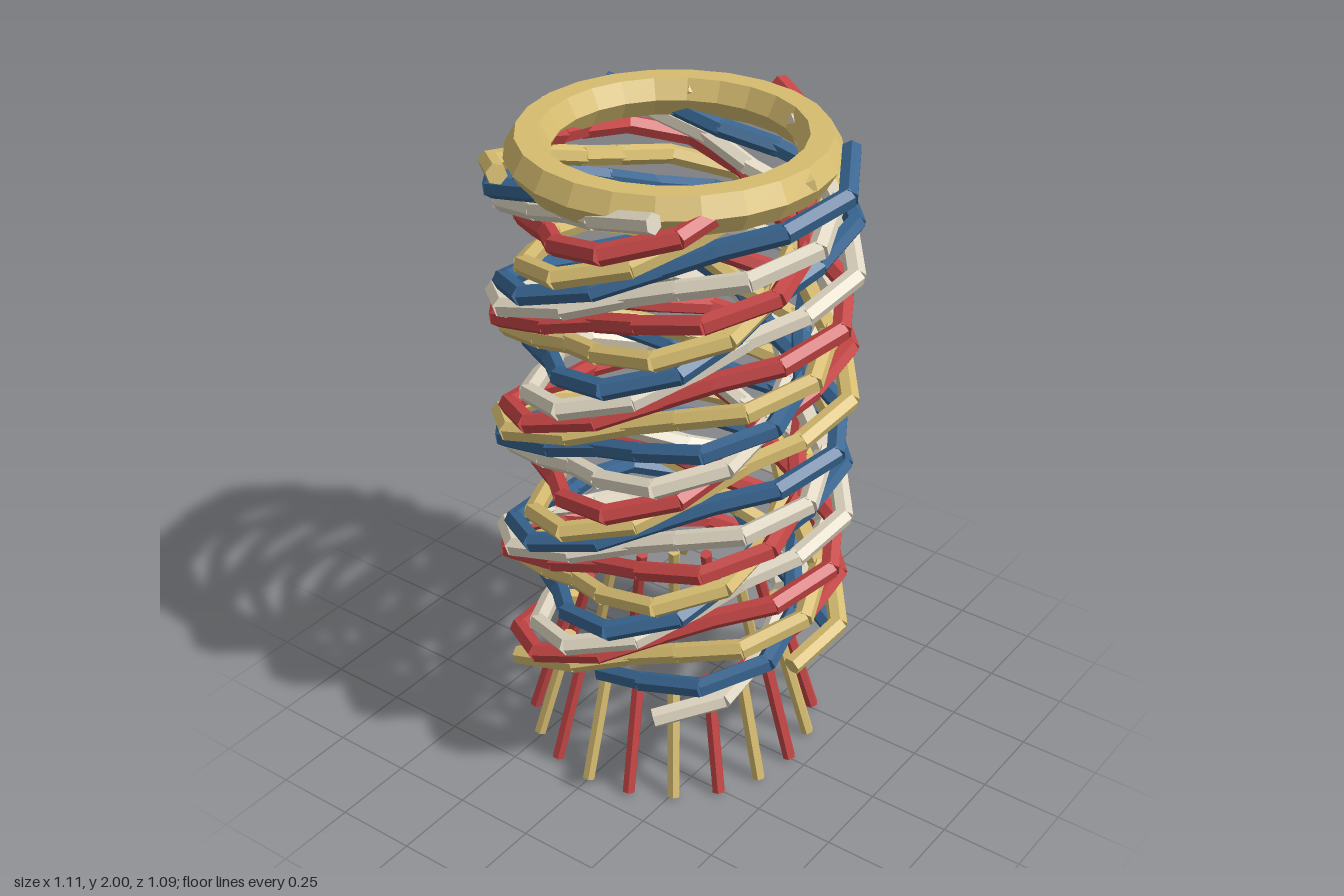
import * as THREE from 'three';

const paint = (color) => new THREE.MeshStandardMaterial({ color, flatShading: true });
const red = paint(0xc44545);
const cream = paint(0xdfd6c2);
const blue = paint(0x37648f);
const gold = paint(0xd6bc70);

const UP = new THREE.Vector3(0, 1, 0);

// point at an angle (degrees from +x towards +z), radius and height
function polar(degrees, radius, y) {
  const a = THREE.MathUtils.degToRad(degrees);
  return new THREE.Vector3(radius * Math.cos(a), y, radius * Math.sin(a));
}

// six-sided rod between two points, lengthened a little so that joints overlap
function rod(from, to, radius, material, name, overlap = 0) {
  const along = to.clone().sub(from);
  const geometry = new THREE.CylinderGeometry(radius, radius, along.length() + overlap, 6);
  const mesh = new THREE.Mesh(geometry, material);
  mesh.position.copy(from).add(to).multiplyScalar(0.5);
  mesh.quaternion.setFromUnitVectors(UP, along.normalize());
  mesh.name = name;
  return mesh;
}

// helical strand that weaves in and out as it winds down two turns
function strand(index, material) {
  const group = new THREE.Group();
  group.name = 'wovenStrand';
  const steps = 32, turns = 2, top = 1.96, bottom = 0.365;
  const points = [];
  for (let j = 0; j <= steps; j++) {
    const t = j / steps;
    const wound = t * turns * 360;
    const weave = THREE.MathUtils.degToRad(3 * wound + 150 * index);
    const radius = 0.445 + 0.08 * Math.cos(weave);
    points.push(polar(30 * index + wound, radius, top + (bottom - top) * t));
  }
  for (let j = 0; j < steps; j++) {
    group.add(rod(points[j], points[j + 1], 0.03, material, 'strandSegment', 0.01));
  }
  return group;
}

export function createModel() {
  const model = new THREE.Group();
  model.name = 'wovenSleeve';

  // twelve strands in four repeating colours
  const colours = [red, cream, blue, gold];
  for (let i = 0; i < 12; i++) model.add(strand(i, colours[i % 4]));

  // rim on top
  const rim = new THREE.Mesh(new THREE.TorusGeometry(0.405, 0.065, 6, 24), gold);
  rim.rotation.x = Math.PI / 2;
  rim.position.y = 1.944;
  rim.name = 'topRim';
  model.add(rim);

  // splayed fringe at the foot
  for (let k = 0; k < 20; k++) {
    const angle = k * 18;
    model.add(rod(polar(angle, 0.445, 0.006), polar(angle, 0.337, 0.37), 0.02, k % 2 ? red : gold, 'fringeRod'));
  }
  return model;
}
